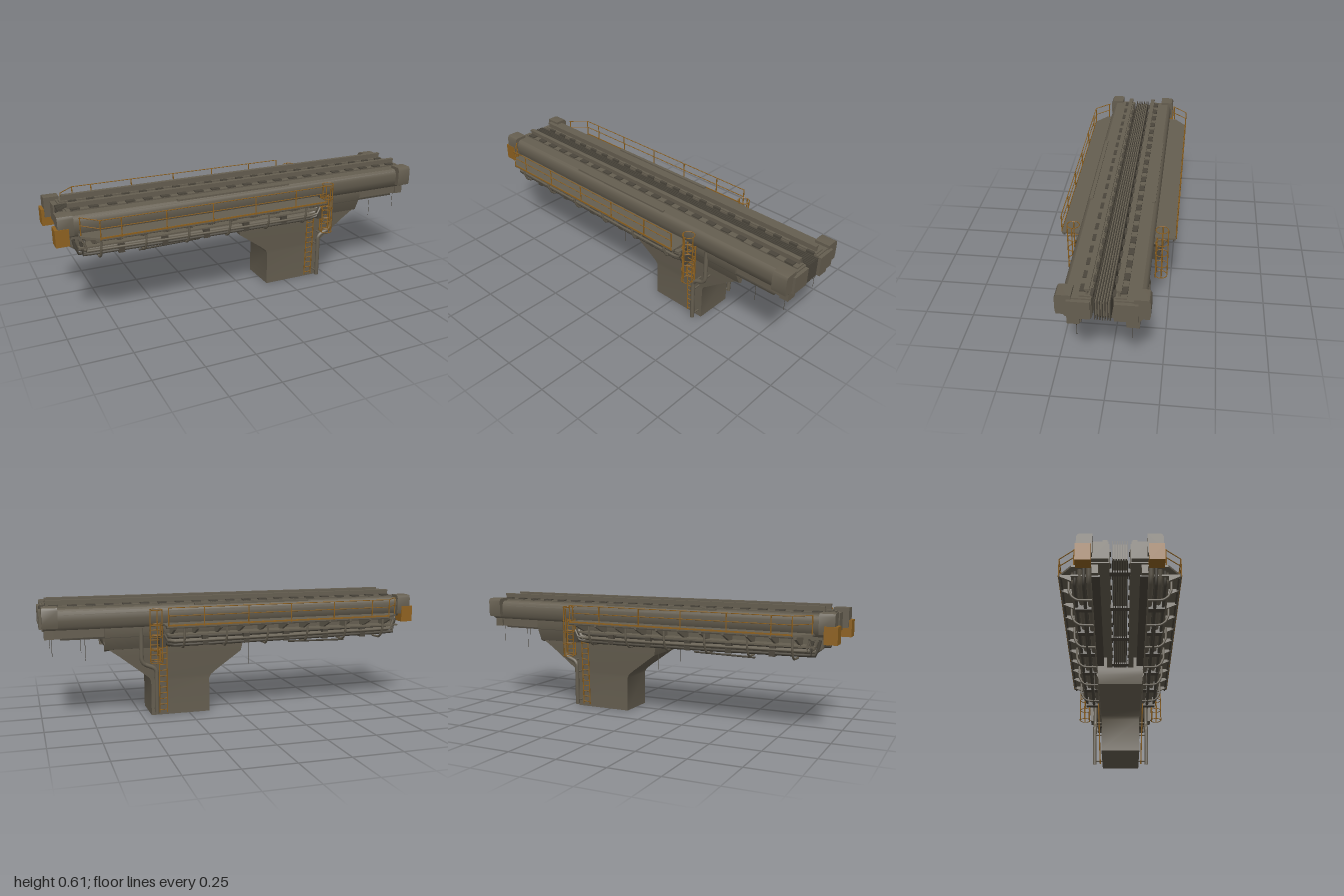
import * as THREE from 'three';
import { toCreasedNormals } from 'three/addons/utils/BufferGeometryUtils.js';

const mat = (name, color) => {
  const m = new THREE.MeshStandardMaterial({ color, side: THREE.DoubleSide });
  m.name = name;
  return m;
};
const V = (x, y, z) => new THREE.Vector3(x, y, z);

export function createModel() {
  const root = new THREE.Group();
  root.name = 'elevatedTrackStation';
  const steel = mat('weathered steel', 0x655e50);
  const dark = mat('dark steel', 0x4b463c);
  const ochre = mat('ochre paint', 0x8f6220);

  const group = (name) => {
    const g = new THREE.Group();
    g.name = name;
    root.add(g);
    return g;
  };
  const add = (parent, name, geo, m) => {
    const mesh = new THREE.Mesh(geo, m);
    mesh.name = name;
    parent.add(mesh);
    return mesh;
  };
  // Box given by its limits; z limits may come mirrored
  const box = (p, name, x0, x1, y0, y1, z0, z1, m) => {
    const mesh = add(p, name, new THREE.BoxGeometry(x1 - x0, y1 - y0, Math.abs(z1 - z0)), m);
    mesh.position.set((x0 + x1) / 2, (y0 + y1) / 2, (z0 + z1) / 2);
    return mesh;
  };
  const rod = (p, name, a, b, r, m, sides = 6) => {
    const mesh = add(p, name, new THREE.CylinderGeometry(r, r, a.distanceTo(b), sides), m);
    mesh.position.copy(a).add(b).multiplyScalar(0.5);
    mesh.quaternion.setFromUnitVectors(V(0, 1, 0), b.clone().sub(a).normalize());
    return mesh;
  };
  const pipe = (p, name, pts, r, m) => {
    const curve = new THREE.CatmullRomCurve3(pts, false, 'catmullrom', 0.2);
    return add(p, name, new THREE.TubeGeometry(curve, pts.length * 6, r, 8), m);
  };
  // Extrudes a (z, y) outline along x
  const alongX = (p, name, outline, x0, x1, s, m) => {
    const shape = new THREE.Shape(outline.map(([z, y]) => new THREE.Vector2(-z * s, y)));
    const geo = new THREE.ExtrudeGeometry(shape, { depth: x1 - x0, bevelEnabled: false });
    geo.rotateY(Math.PI / 2).translate(x0, 0, 0);
    return add(p, name, toCreasedNormals(geo, 0.6), m);
  };

  // Flared pedestal lofted from rectangles: y, x0, x1, half depth
  const levels = [[0, 0.14, 0.45, 0.103], [0.18, 0.14, 0.45, 0.103], [0.2, 0.13, 0.46, 0.105],
    [0.225, 0.1, 0.49, 0.108], [0.32, -0.03, 0.61, 0.117], [0.37, -0.04, 0.68, 0.122],
    [0.4, -0.04, 0.69, 0.122], [0.415, -0.04, 0.69, 0.115]];
  const pos = [], idx = [];
  for (const [y, a, b, z] of levels) pos.push(a, y, z, b, y, z, b, y, -z, a, y, -z);
  for (let i = 0; i < levels.length - 1; i++) {
    for (let j = 0; j < 4; j++) {
      const a = i * 4 + j, b = i * 4 + (j + 1) % 4;
      idx.push(a, b, b + 4, a, b + 4, a + 4);
    }
  }
  const n = (levels.length - 1) * 4;
  idx.push(0, 2, 1, 0, 3, 2, n, n + 1, n + 2, n, n + 2, n + 3);
  const loft = new THREE.BufferGeometry();
  loft.setAttribute('position', new THREE.Float32BufferAttribute(pos, 3));
  loft.setIndex(idx);
  add(root, 'pedestal', toCreasedNormals(loft, 0.7), steel);

  // Ribbed guide strip between the two track beams
  const strip = group('centreStrip');
  box(strip, 'stripCore', -0.94, 0.98, 0.49, 0.565, -0.034, 0.034, steel);
  for (let i = -3; i <= 3; i++) {
    box(strip, 'stripFin', -0.95, 0.99, 0.475, 0.577, i * 0.011 - 0.002, i * 0.011 + 0.002, dark);
  }
  for (let x = -0.85; x < 0.95; x += 0.3) box(strip, 'crossTie', x, x + 0.03, 0.48, 0.5, -0.06, 0.06, dark);

  for (const s of [1, -1]) {
    const side = s > 0 ? 'front' : 'back';

    // Track beam with rounded outer shoulder, girder below and T rail above
    const beam = group(side + 'TrackBeam');
    alongX(beam, 'beam', [[0.046, 0.475], [0.16, 0.475], [0.172, 0.49], [0.178, 0.52], [0.178, 0.55],
      [0.171, 0.567], [0.158, 0.577], [0.046, 0.577]], -0.93, 0.98, s, steel);
    box(beam, 'girder', -0.92, 0.96, 0.43, 0.476, 0.095 * s, 0.145 * s, steel);
    box(beam, 'girderFlange', -0.9, 0.9, 0.424, 0.432, 0.088 * s, 0.152 * s, dark);
    box(beam, 'railBase', -0.92, 0.97, 0.576, 0.584, 0.05 * s, 0.1 * s, steel);
    box(beam, 'railStem', -0.91, 0.96, 0.58, 0.606, 0.062 * s, 0.072 * s, steel);
    box(beam, 'railHead', -0.91, 0.96, 0.603, 0.612, 0.056 * s, 0.078 * s, steel);
    box(beam, 'shoulderPlate', -0.39, 0.23, 0.575, 0.584, 0.148 * s, 0.165 * s, steel);
    for (let i = 0; i < 21; i++) {
      const x = -0.9 + i * 0.09;
      box(beam, 'railClamp', x, x + 0.045, 0.58, 0.59, 0.074 * s, 0.1 * s, dark);
      box(beam, 'innerClamp', x + 0.02, x + 0.06, 0.57, 0.586, 0.04 * s, 0.054 * s, dark);
    }

    // Saddle carrying the beam
    const saddle = group(side + 'Saddle');
    box(saddle, 'saddleBlock', -0.04, 0.69, 0.4, 0.478, 0.072 * s, 0.13 * s, steel);
    alongX(saddle, 'saddleCheek', [[0.1, 0.35], [0.122, 0.36], [0.158, 0.44], [0.158, 0.477], [0.1, 0.477]],
      -0.03, 0.685, s, steel);

    // End housings
    const ends = group(side + 'EndHousings');
    const cap = [[0.13, 0.49], [0.197, 0.49], [0.201, 0.51], [0.201, 0.575], [0.194, 0.588], [0.185, 0.591], [0.13, 0.591]];
    alongX(ends, 'rightHousing', cap, 0.91, 0.985, s, steel);
    box(ends, 'rightHousingFoot', 0.93, 0.975, 0.43, 0.49, 0.1 * s, 0.155 * s, steel);
    box(ends, 'rightEndPlate', 0.975, 0.997, 0.48, 0.57, 0.05 * s, 0.15 * s, steel);
    alongX(ends, 'leftHousing', cap.map(([z, y]) => [z - 0.01, y]), -0.985, -0.91, s, steel);
    box(ends, 'leftPaintedBox', -1, -0.935, 0.445, 0.53, 0.125 * s, 0.194 * s, ochre);
    box(ends, 'leftEndPlate', -0.955, -0.92, 0.48, 0.57, 0.05 * s, 0.13 * s, steel);

    // Walkway slab with one cut corner
    const walk = group(side + 'Walkway');
    const plan = new THREE.Shape([[-0.89, 0.16], [0.4, 0.16], [0.4, 0.278], [-0.81, 0.278], [-0.89, 0.215]]
      .map(([x, z]) => new THREE.Vector2(x, z * s)));
    const slab = new THREE.ExtrudeGeometry(plan, { depth: 0.01, bevelEnabled: false });
    slab.rotateX(Math.PI / 2).translate(0, 0.492, 0);
    add(walk, 'walkwayDeck', slab, steel);
    box(walk, 'walkwayEdge', -0.81, 0.4, 0.475, 0.49, 0.262 * s, 0.27 * s, dark);
    for (let i = 0; i < 11; i++) {
      const x = -0.83 + i * 0.118;
      alongX(walk, 'bracket', [[0.15, 0.425], [0.2, 0.44], [0.27, 0.472], [0.27, 0.484], [0.15, 0.484]],
        x, x + 0.012, s, steel);
    }

    // Handrail
    const rail = group(side + 'Handrail');
    const posts = [-0.81, -0.71, -0.49, -0.25, -0.02, 0.21, 0.39];
    for (const x of posts) rod(rail, 'post', V(x, 0.485, 0.278 * s), V(x, 0.58, 0.278 * s), 0.003, ochre);
    for (const y of [0.54, 0.58]) {
      rod(rail, 'bar', V(-0.81, y, 0.278 * s), V(0.39, y, 0.278 * s), 0.0022, ochre);
      rod(rail, 'endBar', V(-0.81, y, 0.278 * s), V(-0.885, y, 0.2 * s), 0.0022, ochre);
    }
    rod(rail, 'post', V(-0.885, 0.485, 0.205 * s), V(-0.885, 0.58, 0.205 * s), 0.003, ochre);
    box(rail, 'kickStrip', -0.81, 0.39, 0.489, 0.497, 0.278 * s, 0.281 * s, ochre);

    // Service pipes and hangers slung under the walkway
    const service = group(side + 'ServicePipes');
    const runs = [[0.135, 0.4, 0.012], [0.158, 0.385, 0.008], [0.176, 0.408, 0.011], [0.198, 0.392, 0.007],
      [0.21, 0.412, 0.006], [0.16, 0.425, 0.009]];
    runs.forEach(([z, y, r], i) => pipe(service, 'pipeRun', [V(-0.925 + i * 0.012, 0.46, z * s),
      V(-0.91 + i * 0.012, y + 0.01, z * s), V(-0.86, y, z * s), V(-0.2, y - 0.008, z * s),
      V(0.36, y - 0.01, z * s), V(0.4, y + 0.03, z * s)], r, i % 2 ? dark : steel));
    box(service, 'cableTray', -0.9, 0.38, 0.428, 0.436, 0.14 * s, 0.215 * s, steel);
    rod(service, 'thinPipe', V(-0.6, 0.358, 0.165 * s), V(-0.28, 0.364, 0.165 * s), 0.005, dark);
    for (let i = 0; i < 6; i++) {
      const x = -0.8 + i * 0.22;
      pipe(service, 'curvedHanger', [V(x, 0.48, 0.232 * s), V(x, 0.42, 0.23 * s), V(x, 0.385, 0.215 * s),
        V(x, 0.368, 0.19 * s), V(x, 0.366, 0.125 * s)], 0.006, steel);
      box(service, 'pipeClamp', x + 0.09, x + 0.12, 0.375, 0.43, 0.13 * s, 0.205 * s, dark);
    }

    // Downpipe stepping out with the flare
    const down = group(side + 'Downpipe');
    pipe(down, 'downpipe', [V(0.43, 0.02, 0.15 * s), V(0.43, 0.12, 0.152 * s), V(0.43, 0.24, 0.152 * s),
      V(0.445, 0.262, 0.152 * s), V(0.49, 0.282, 0.153 * s), V(0.505, 0.31, 0.153 * s),
      V(0.505, 0.47, 0.153 * s)], 0.011, steel);
    for (const [x, y] of [[0.43, 0.038], [0.43, 0.2], [0.445, 0.265], [0.505, 0.31]]) {
      rod(down, 'standoff', V(x, y, 0.09 * s), V(x, y, 0.152 * s), 0.005, steel);
    }

    // Lower ladder on the pedestal face
    const ladder = group(side + 'Ladder');
    for (const x of [0.37, 0.41]) rod(ladder, 'stile', V(x, 0.015, 0.117 * s), V(x, 0.4, 0.132 * s), 0.0032, ochre);
    for (let i = 0; i < 13; i++) {
      const z = (0.118 + i * 0.0011) * s;
      rod(ladder, 'rung', V(0.37, 0.03 + i * 0.03, z), V(0.41, 0.03 + i * 0.03, z), 0.0025, ochre);
    }

    // Caged ladder at the end of the walkway
    const cage = group(side + 'CagedLadder');
    for (const x of [0.415, 0.465]) rod(cage, 'stile', V(x, 0.3, 0.187 * s), V(x, 0.5, 0.187 * s), 0.0035, ochre);
    for (let y = 0.31; y < 0.5; y += 0.025) rod(cage, 'rung', V(0.415, y, 0.187 * s), V(0.465, y, 0.187 * s), 0.0025, ochre);
    for (const y of [0.3, 0.365, 0.43, 0.49, 0.565]) {
      const hoop = add(cage, 'hoop', new THREE.TorusGeometry(0.03, 0.0022, 5, 20), ochre);
      hoop.rotation.x = Math.PI / 2;
      hoop.position.set(0.44, y, 0.212 * s);
    }
    for (const a of [0.1, 1.57, 3.04]) {
      const x = 0.44 + 0.03 * Math.cos(a), z = (0.212 + 0.03 * Math.sin(a)) * s;
      rod(cage, 'cageBar', V(x, 0.3, z), V(x, 0.565, z), 0.003, ochre);
    }

    // Thin loose cables hanging down
    const cables = group(side + 'HangingCables');
    for (const [x, y0, y1, z] of [[-0.065, 0.25, 0.4, 0.14], [0.78, 0.31, 0.44, 0.12], [0.94, 0.34, 0.44, 0.12]]) {
      rod(cables, 'cable', V(x, y0, z * s), V(x, y1, z * s), 0.0012, dark, 4);
    }
  }
  return root;
}
